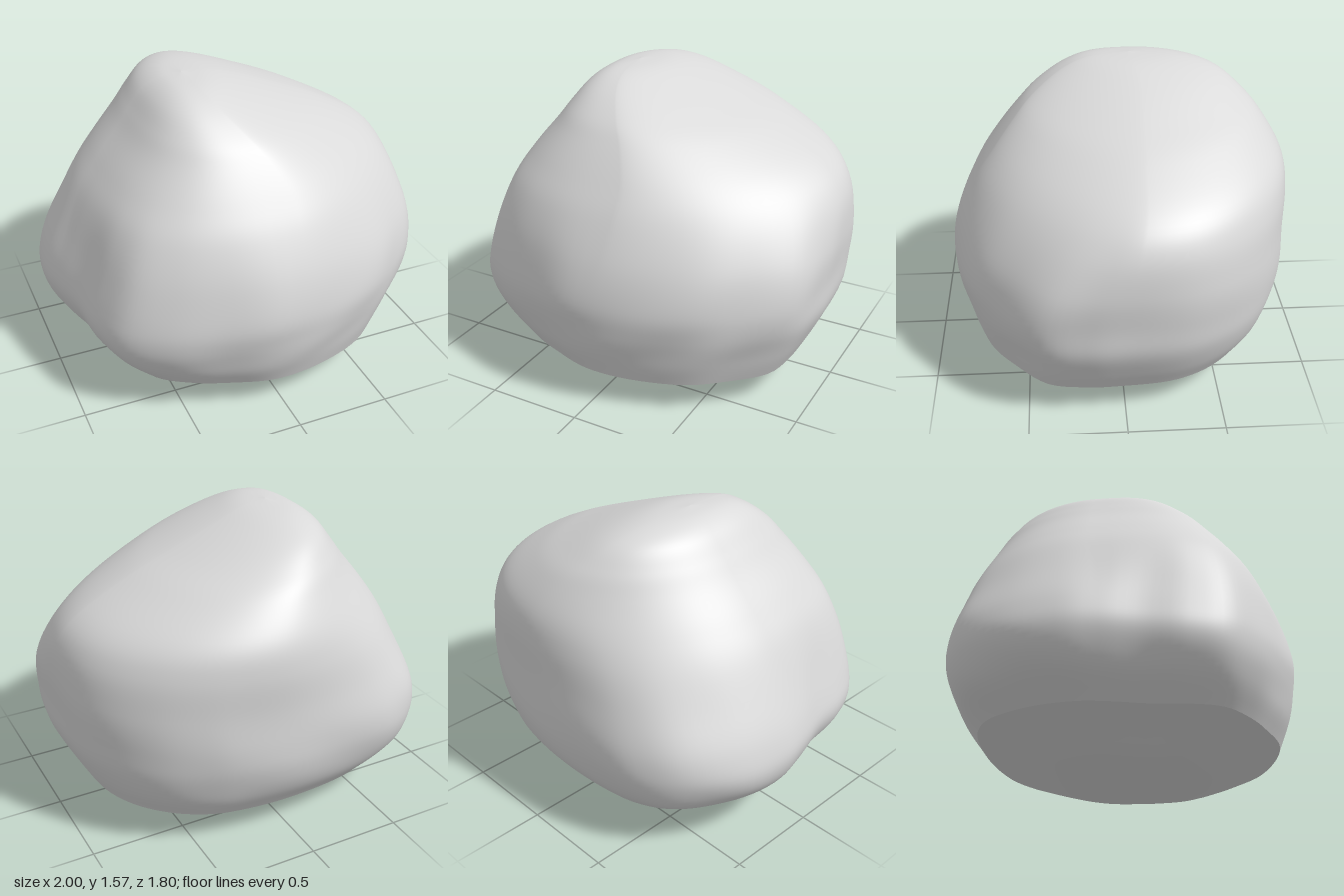
import * as THREE from 'three';

// Plan outline of the lower boulder, unit-sized: [x, z] going from +x towards +z
const OUTLINE = [
  [1, 0], [1, .22], [.95, .48], [.75, .7], [.53, .87], [.2, .98], [-.1, 1], [-.37, .92],
  [-.6, .82], [-.8, .67], [-.88, .45], [-.91, .22], [-.97, 0], [-1, -.22], [-.95, -.5], [-.8, -.78],
  [-.6, -.92], [-.35, -.98], [0, -1], [.3, -.97], [.5, -.91], [.7, -.78], [.87, -.58], [.97, -.33],
];

// Cross-sections: [y, xMin, xMax, zMin, zMax]
const BODY = [
  [.165, -.78, .84, -.74, .8], [.3, -.93, .91, -.83, .85], [.45, -1, .97, -.88, .885],
  [.6, -.98, .985, -.895, .895], [.8, -.9, 1, -.89, .85], [1, -.8, .965, -.89, .76],
  [1.15, -.69, .85, -.86, .66], [1.3, -.565, .59, -.77, .54], [1.4, -.49, .36, -.68, .44],
  [1.5, -.41, .11, -.54, .29], [1.555, -.32, -.06, -.34, .14], [1.572, -.21, -.21, -.08, -.08],
];
const UNDERSIDE = [
  [0, .03, .03, .03, .03], [.006, -.2, .24, -.2, .25], [.04, -.4, .5, -.38, .45],
  [.1, -.57, .69, -.55, .62], [.165, -.78, .84, -.74, .8],
];

// Slow ripples that give the surface worn, chipped planes
function ripple(x, y, z) {
  const low = 1 - THREE.MathUtils.smoothstep(y, .3, .9);
  const fade = THREE.MathUtils.smoothstep(y, .165, .4);
  const broad = Math.sin(4.1 * x + 2.3 * y + 1) * Math.sin(4.6 * z - 3.1 * y + .5);
  const fine = Math.sin(9 * x - 6 * y) * Math.sin(8 * z + 7 * y + 2);
  return 1 + fade * (.004 * broad + (.001 + .007 * low) * fine);
}

// With height the outline turns into a rounded form, full at the front left, worn elsewhere
function outlineAt(p, y) {
  const angle = Math.atan2(p.z, p.x), c = Math.cos(angle), s = Math.sin(angle);
  const fullness = s > 0 ? (c < 0 ? 3 : 1.55) : 1.9;
  const bend = v => Math.sign(v) * Math.abs(v) ** (2 / fullness);
  const blend = THREE.MathUtils.smoothstep(y, .55, 1.25);
  return [THREE.MathUtils.lerp(p.x, bend(c), blend), THREE.MathUtils.lerp(p.z, bend(s), blend)];
}

// Smooth skin through a stack of scaled outlines
function loft(levels, rows, columns) {
  const curve = (points, closed) => new THREE.CatmullRomCurve3(points, closed, 'catmullrom', .5);
  const plan = curve(OUTLINE.map(([x, z]) => new THREE.Vector3(x, 0, z)), true);
  const spanX = curve(levels.map(l => new THREE.Vector3(l[1], l[2], l[0])), false);
  const spanZ = curve(levels.map(l => new THREE.Vector3(l[3], l[4], l[0])), false);
  const positions = [], index = [];
  for (let i = 0; i <= rows; i++) {
    const sx = spanX.getPoint(i / rows), sz = spanZ.getPoint(i / rows);
    const y = Math.max(0, sx.z);
    for (let j = 0; j < columns; j++) {
      const [px, pz] = outlineAt(plan.getPoint(j / columns), y);
      const x = (sx.x + sx.y) / 2 + px * (sx.y - sx.x) / 2;
      const z = (sz.x + sz.y) / 2 + pz * (sz.y - sz.x) / 2;
      const r = ripple(x, y, z);
      positions.push(x * r, y, z * r);
      if (i < rows) {
        const a = i * columns + j, b = i * columns + (j + 1) % columns;
        index.push(a, a + columns, b, b, a + columns, b + columns);
      }
    }
  }
  const geometry = new THREE.BufferGeometry();
  geometry.setAttribute('position', new THREE.Float32BufferAttribute(positions, 3));
  geometry.setIndex(index);
  geometry.computeVertexNormals();
  return geometry;
}

export function createModel() {
  const stone = new THREE.MeshStandardMaterial({ color: 0xdadada });
  stone.name = 'pale grey stone';

  const group = new THREE.Group();
  group.name = 'boulder';

  // Rounded upper mass
  const body = new THREE.Mesh(loft(BODY, 66, 120), stone);
  body.name = 'boulderBody';

  // Shallow underside, meeting the body at a crisp rim
  const underside = new THREE.Mesh(loft(UNDERSIDE, 16, 120), stone);
  underside.name = 'boulderUnderside';

  group.add(body, underside);
  return group;
}
